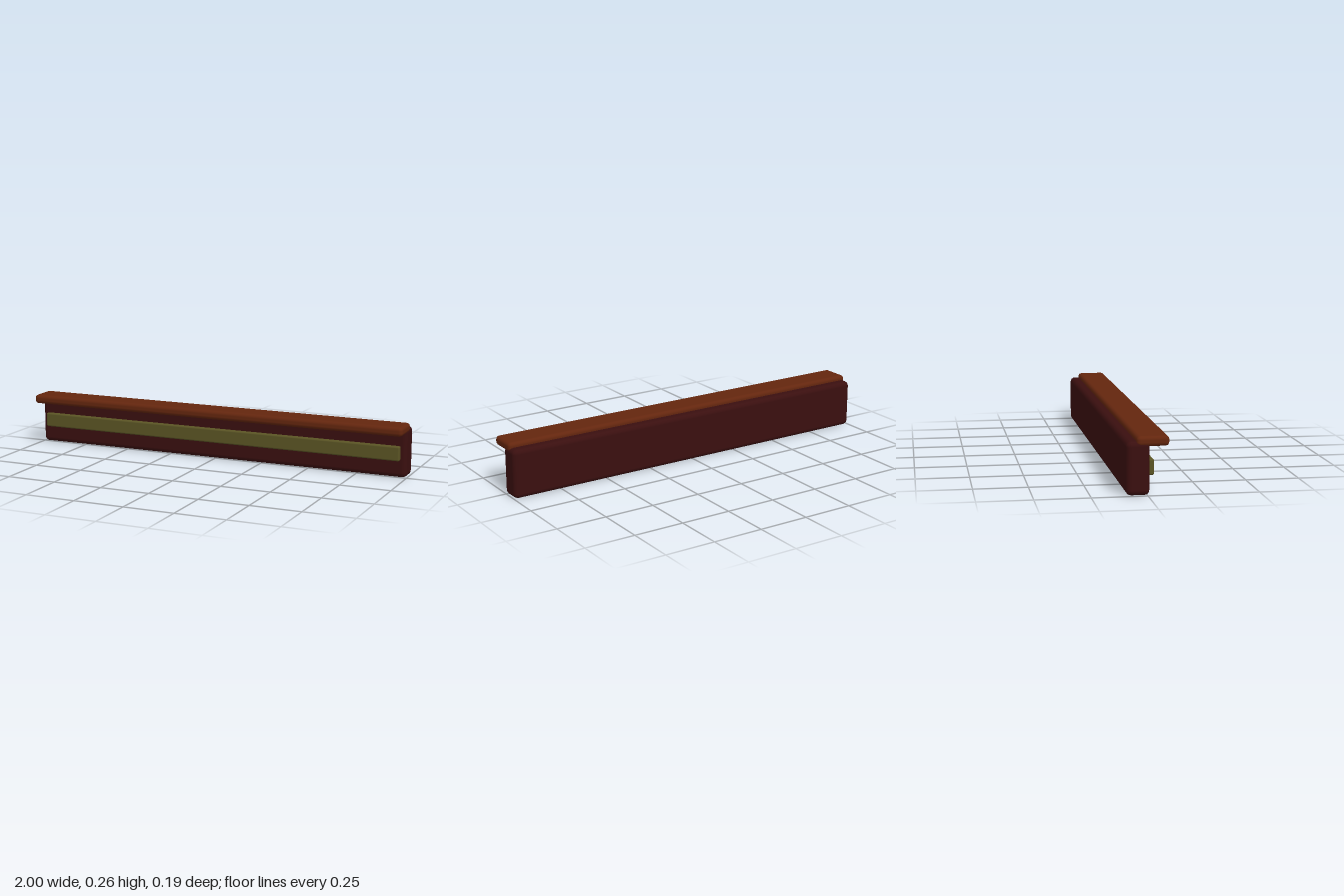
import * as THREE from 'three';
import { RoundedBoxGeometry } from 'three/addons/geometries/RoundedBoxGeometry.js';

function makeMaterial(name, color) {
  const material = new THREE.MeshStandardMaterial({ color });
  material.name = name;
  return material;
}

// Rounded beam along x, given its width and its y and z extents
function beam(name, width, [y0, y1], [z0, z1], radius, material) {
  const geometry = new RoundedBoxGeometry(width, y1 - y0, z1 - z0, 2, radius);
  const mesh = new THREE.Mesh(geometry, material);
  mesh.name = name;
  mesh.position.set(0, (y0 + y1) / 2, (z0 + z1) / 2);
  return mesh;
}

export function createModel() {
  const darkWood = makeMaterial('dark red wood', 0x3a0f0f);
  const brownWood = makeMaterial('brown wood', 0x64260e);
  const olive = makeMaterial('olive trim', 0x5a5424);

  const model = new THREE.Group();
  model.name = 'ledge';
  model.add(
    // upright board
    beam('backBoard', 2, [0, 0.241], [-0.096, 0.01], 0.024, darkWood),
    // overhanging shelf on the top front edge
    beam('topLedge', 2, [0.218, 0.264], [-0.05, 0.096], 0.018, brownWood),
    // raised strip along the front
    beam('frontStrip', 1.94, [0.085, 0.157], [-0.008, 0.032], 0.008, olive)
  );
  return model;
}
